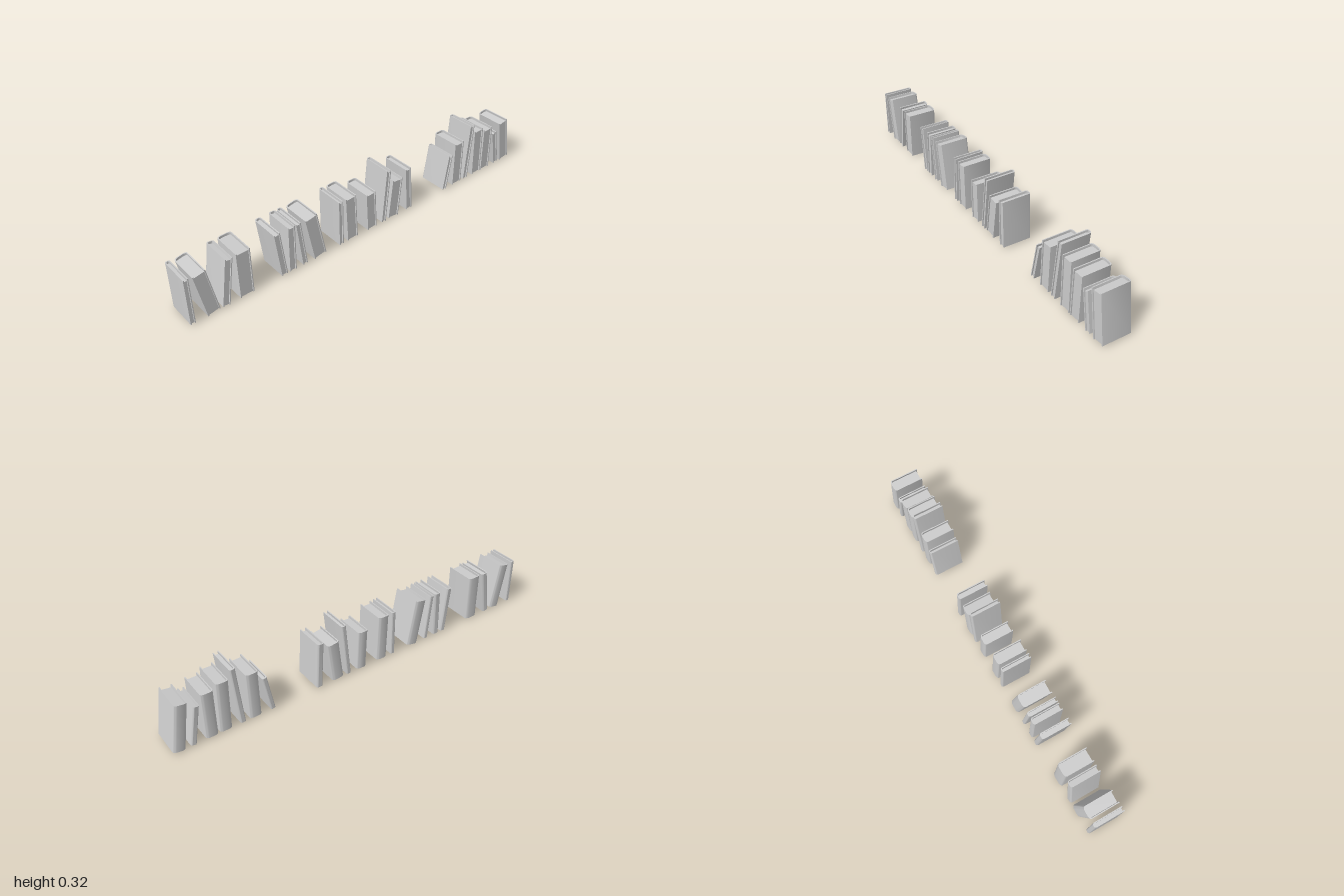
import * as THREE from 'three';
import { toCreasedNormals } from 'three/addons/utils/BufferGeometryUtils.js';

const HALF = 0.076;      // half the cover depth (spine at -x, fore edge at +x)
const BOARD = 0.005;     // cover thickness
const BASE = 0.007;      // height of the bottom centre of each book
const material = new THREE.MeshStandardMaterial({ color: 0xcccccc });

// Each book: z of the bottom centre, z of the top centre, thickness, top height
const BOOKS = [
  [0.988, 0.988, 0.024, 0.252], [0.885, 0.928, 0.062, 0.25],
  [0.824, 0.786, 0.036, 0.25], [0.717, 0.717, 0.07, 0.252],
  [0.516, 0.543, 0.031, 0.25], [0.470, 0.465, 0.036, 0.251],
  [0.401, 0.428, 0.025, 0.25], [0.313, 0.358, 0.066, 0.25],
  [0.187, 0.187, 0.024, 0.252], [0.118, 0.128, 0.06, 0.251],
  [-0.005, 0.005, 0.055, 0.216], [-0.08, -0.107, 0.025, 0.295],
  [-0.142, -0.166, 0.062, 0.22], [-0.249, -0.235, 0.034, 0.25],
  [-0.503, -0.535, 0.025, 0.198], [-0.593, -0.593, 0.06, 0.252],
  [-0.658, -0.682, 0.028, 0.318], [-0.743, -0.735, 0.06, 0.273],
  [-0.811, -0.809, 0.06, 0.252], [-0.901, -0.864, 0.03, 0.206],
  [-0.968, -0.928, 0.06, 0.25],
];

// Extrude a plan outline upwards
function extrudeUp(shape, height) {
  const geo = new THREE.ExtrudeGeometry(shape, { depth: height, bevelEnabled: false, curveSegments: 4 });
  geo.rotateX(-Math.PI / 2);
  return toCreasedNormals(geo, 0.7);
}

// Plan of the wrap-around cover: a U with a softly rounded spine
function coverShape(t) {
  const o = t / 2, i = o - BOARD;
  const s = new THREE.Shape();
  s.moveTo(HALF, -o);
  s.lineTo(HALF, -i);
  s.lineTo(-HALF + 0.013, -i);
  s.quadraticCurveTo(-HALF + 0.007, -i, -HALF + BOARD, -i * 0.5);
  s.lineTo(-HALF + BOARD, i * 0.5);
  s.quadraticCurveTo(-HALF + 0.007, i, -HALF + 0.013, i);
  s.lineTo(HALF, i);
  s.lineTo(HALF, o);
  s.lineTo(-HALF + 0.012, o);
  s.quadraticCurveTo(-HALF + 0.003, o, -HALF, o * 0.5);
  s.lineTo(-HALF, -o * 0.5);
  s.quadraticCurveTo(-HALF + 0.003, -o, -HALF + 0.012, -o);
  s.closePath();
  return s;
}

// Plan of the page block, filling the inside of the cover
function pagesShape(t) {
  const i = t / 2 - BOARD, front = HALF - 0.006;
  const s = new THREE.Shape();
  s.moveTo(front, -i);
  s.lineTo(front, i);
  s.lineTo(-HALF + 0.013, i);
  s.quadraticCurveTo(-HALF + 0.007, i, -HALF + BOARD, i * 0.5);
  s.lineTo(-HALF + BOARD, -i * 0.5);
  s.quadraticCurveTo(-HALF + 0.007, -i, -HALF + 0.013, -i);
  s.closePath();
  return s;
}

function makeBook([zBottom, zTop, thickness, top]) {
  const rise = top - BASE, run = zTop - zBottom;
  const height = Math.hypot(rise, run);
  const book = new THREE.Group();
  book.name = 'book';

  const cover = new THREE.Mesh(extrudeUp(coverShape(thickness), height), material);
  cover.name = 'cover';
  // Pages stop short of the top edge
  const pages = new THREE.Mesh(extrudeUp(pagesShape(thickness), height - 0.012), material);
  pages.name = 'pages';
  book.add(cover, pages);

  // Lean about the bottom centre
  book.position.set(0, BASE, zBottom);
  book.rotation.x = Math.atan2(run, rise);
  return book;
}

export function createModel() {
  const row = new THREE.Group();
  row.name = 'bookRow';
  for (const spec of BOOKS) row.add(makeBook(spec));
  return row;
}
